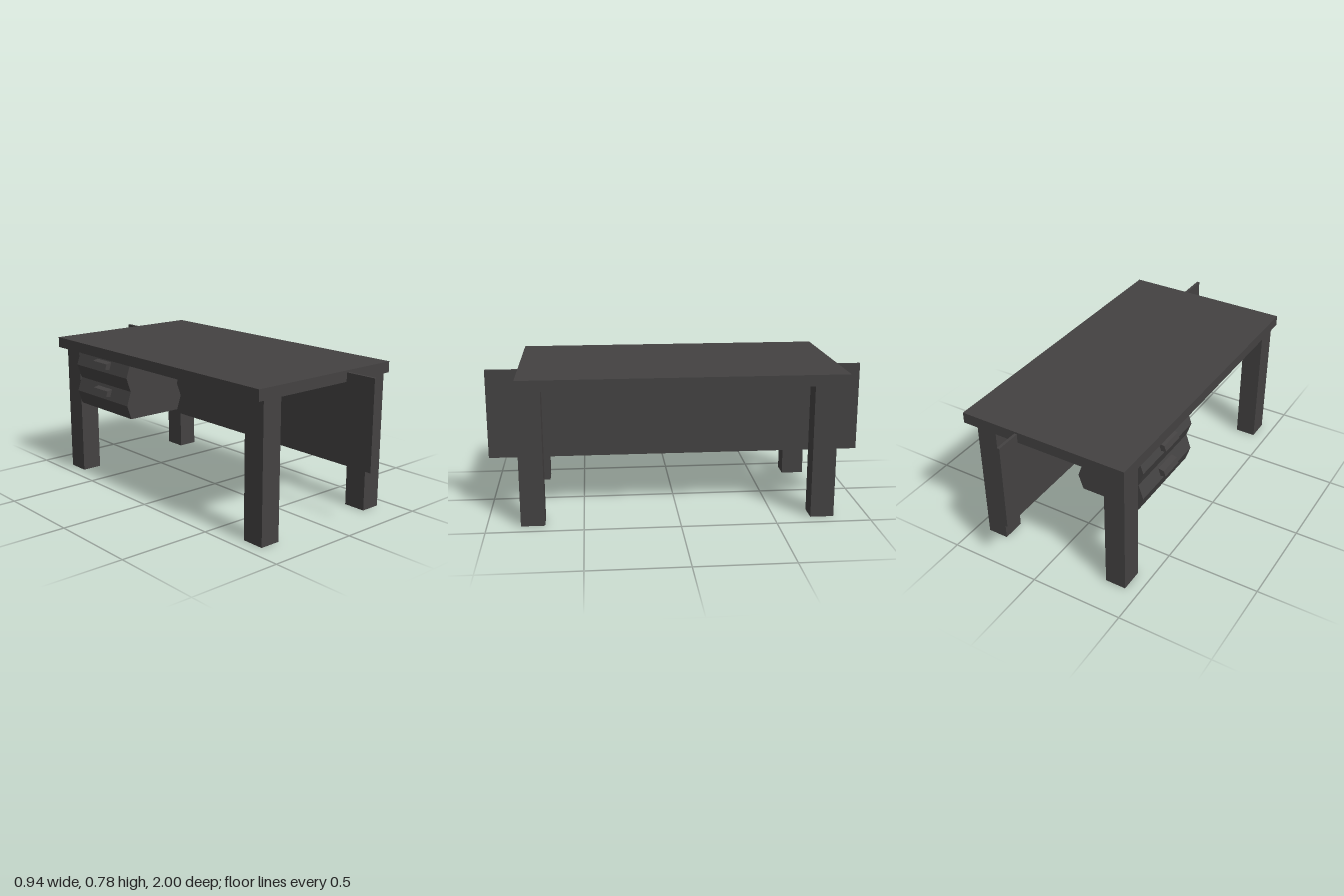
import * as THREE from 'three';

export function createModel() {
  const model = new THREE.Group();
  const material = new THREE.MeshStandardMaterial({ color: 0x444242, flatShading: true });

  const add = (parent, name, geometry) => {
    const mesh = new THREE.Mesh(geometry, material);
    mesh.name = name;
    parent.add(mesh);
    return mesh;
  };

  // Box given by its lowest and highest corner
  const box = (name, [x0, y0, z0], [x1, y1, z1]) =>
    add(model, name, new THREE.BoxGeometry(x1 - x0, y1 - y0, z1 - z0)
      .translate((x0 + x1) / 2, (y0 + y1) / 2, (z0 + z1) / 2));

  // Cross-section in x and y, drawn out along z
  const prism = (parent, name, points, z0, z1) => {
    const shape = new THREE.Shape(points.map(([x, y]) => new THREE.Vector2(x, y)));
    const geometry = new THREE.ExtrudeGeometry(shape, { depth: z1 - z0, bevelEnabled: false });
    return add(parent, name, geometry.translate(0, 0, z0));
  };

  box('tableTop', [-0.455, 0.72, -0.865], [0.466, 0.778, 0.825]);
  box('modestyPanel', [0.14, 0.29, -1], [0.155, 0.768, 1]);

  // Four square legs
  for (const [x, sideName] of [[-0.369, 'Right'], [0.369, 'Left']]) {
    for (const [z, endName] of [[0.763, 'front'], [-0.756, 'back']]) {
      box(`${endName}${sideName}Leg`, [x - 0.056, 0, z - 0.062], [x + 0.056, 0.72, z + 0.062]);
    }
  }

  // Two stacked drawers with pointed faces, each with a slanted pull
  const drawers = new THREE.Group();
  drawers.name = 'drawers';
  model.add(drawers);
  const height = 0.1525;
  for (let i = 0; i < 2; i++) {
    const y = 0.415 + i * height;
    prism(drawers, 'drawer', [
      [-0.423, y], [-0.105, y], [-0.078, y + height / 2],
      [-0.105, y + height], [-0.423, y + height], [-0.449, y + height / 2],
    ], -0.685, -0.205);
    prism(drawers, 'drawerHandle', [
      [-0.47, y + 0.1], [-0.442, y + 0.094], [-0.425, y + 0.115],
      [-0.425, y + 0.137], [-0.46, y + 0.129],
    ], -0.505, -0.373);
  }

  return model;
}
